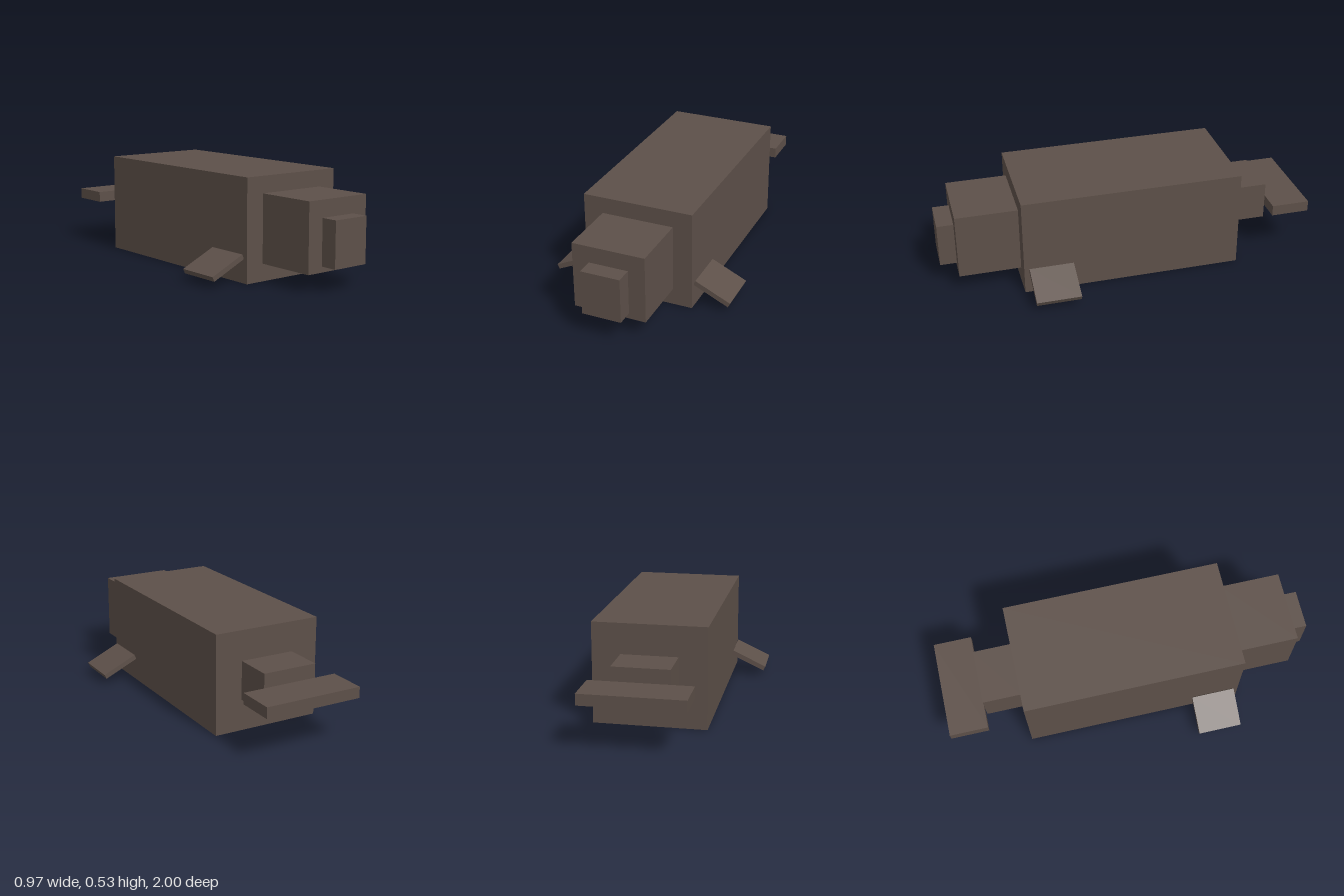
import * as THREE from 'three';

export function createModel() {
  const model = new THREE.Group();
  model.name = 'blockyDolphin';

  const skin = new THREE.MeshStandardMaterial({ color: 0x5d5049 });
  skin.name = 'greyBrownSkin';

  // Box from its size and centre
  const addBox = (name, [w, h, d], [x, y, z]) => {
    const mesh = new THREE.Mesh(new THREE.BoxGeometry(w, h, d), skin);
    mesh.name = name;
    mesh.position.set(x, y, z);
    model.add(mesh);
    return mesh;
  };

  // Body, head and snout, nose towards +z
  addBox('body', [0.586, 0.529, 1.172], [0, 0.2645, 0]);
  addBox('head', [0.382, 0.352, 0.326], [0, 0.266, 0.749]);
  addBox('snout', [0.206, 0.235, 0.088], [0, 0.237, 0.956]);

  // Tail stem and flat tail fin
  addBox('tail', [0.293, 0.205, 0.206], [0, 0.267, -0.689]);
  addBox('tailFin', [0.526, 0.058, 0.206], [0, 0.267, -0.897]);

  // Side flippers, sloping down and outward
  for (const side of [1, -1]) {
    const flipper = addBox(
      side > 0 ? 'leftFlipper' : 'rightFlipper',
      [0.206, 0.0265, 0.235],
      [side * 0.388, 0.091, 0.442]
    );
    flipper.rotation.z = -side * THREE.MathUtils.degToRad(25);
  }

  return model;
}
